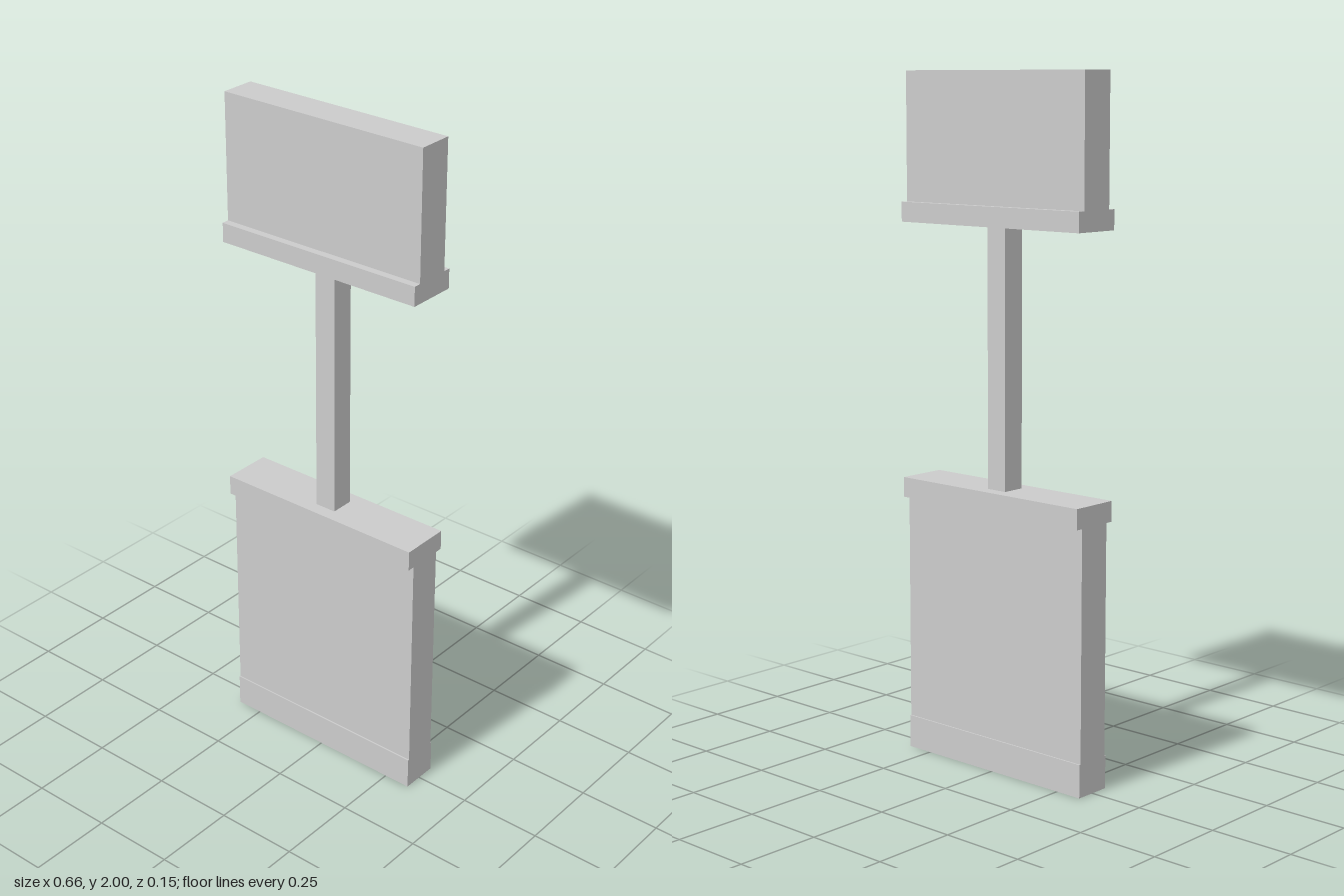
import * as THREE from 'three';

export function createModel() {
  const group = new THREE.Group();
  const material = new THREE.MeshStandardMaterial({ color: 0xcccccc, flatShading: true });
  const width = 0.664;

  // Box spanning y0..y1, centred on x and z
  function block(name, w, y0, y1, depth) {
    const mesh = new THREE.Mesh(new THREE.BoxGeometry(w, y1 - y0, depth), material);
    mesh.name = name;
    mesh.position.y = (y0 + y1) / 2;
    group.add(mesh);
  }

  // Lower wall with skirting and sill
  block('skirting', width, 0, 0.097, 0.113);
  block('lowerWall', width, 0.097, 0.768, 0.104);
  block('sill', width, 0.768, 0.827, 0.148);

  // Central mullion across the opening
  block('mullion', 0.066, 0.827, 1.573, 0.07);

  // Lintel trim and upper wall
  block('lintel', width, 1.573, 1.63, 0.148);
  block('upperWall', width, 1.63, 2, 0.104);

  return group;
}
